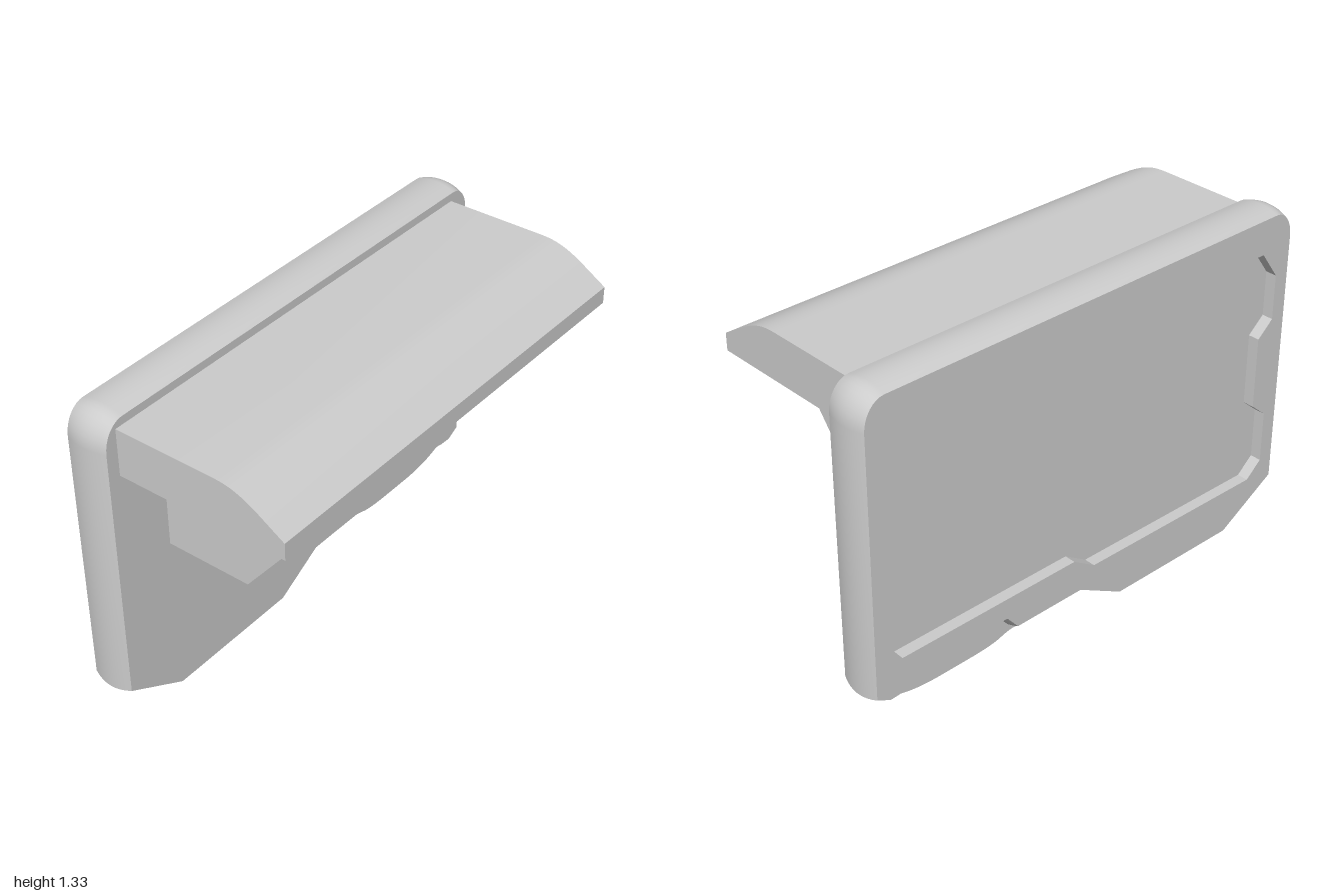
import * as THREE from 'three';
import { mergeGeometries, toCreasedNormals } from 'three/addons/utils/BufferGeometryUtils.js';

const material = new THREE.MeshStandardMaterial({ color: 0xcccccc });
const toPoints = (list) => list.map(([x, y]) => new THREE.Vector2(x, y));

// Move every edge of a counter-clockwise loop inward by d, with mitred corners
function inset(loop, d) {
  const n = loop.length;
  return loop.map((p, i) => {
    const a = p.clone().sub(loop[(i + n - 1) % n]).normalize();
    const b = loop[(i + 1) % n].clone().sub(p).normalize();
    const na = new THREE.Vector2(-a.y, a.x), nb = new THREE.Vector2(-b.y, b.x);
    const m = na.clone().add(nb);
    return p.clone().addScaledVector(m, d / (1 + na.dot(nb)));
  });
}

// Wall through a series of matching loops, each { loop, w }
function wall(levels) {
  const pos = [];
  for (let k = 0; k < levels.length - 1; k++) {
    const A = levels[k], B = levels[k + 1], n = A.loop.length;
    for (let i = 0; i < n; i++) {
      const j = (i + 1) % n;
      const a = [A.loop[i].x, A.loop[i].y, A.w], b = [A.loop[j].x, A.loop[j].y, A.w];
      const c = [B.loop[j].x, B.loop[j].y, B.w], d = [B.loop[i].x, B.loop[i].y, B.w];
      pos.push(...a, ...b, ...c, ...a, ...c, ...d);
    }
  }
  const g = new THREE.BufferGeometry();
  g.setAttribute('position', new THREE.Float32BufferAttribute(pos, 3));
  return g;
}

// Flat face at depth w, with an optional hole
function cap(loop, w, flip, hole) {
  const shape = new THREE.Shape(loop);
  if (hole) shape.holes.push(new THREE.Path(hole));
  const g = new THREE.ShapeGeometry(shape);
  if (flip) g.setIndex(Array.from(g.index.array).reverse());
  g.translate(0, 0, w);
  g.deleteAttribute('uv');
  g.deleteAttribute('normal');
  return g.toNonIndexed();
}

function extrude(shape, from, to, curveSegments = 12) {
  const g = new THREE.ExtrudeGeometry(shape, { depth: to - from, bevelEnabled: false, curveSegments });
  return toCreasedNormals(g.translate(0, 0, from), 0.5);
}

function add(group, name, geometry) {
  const mesh = new THREE.Mesh(geometry, material);
  mesh.name = name;
  group.add(mesh);
  return mesh;
}

// Upright panel with bulging rim and a recess in its -x face
function panelGeometry() {
  const outline = toPoints([
    [-1, 0.155], [-0.735, 0], [-0.155, 0], [0.05, 0.115], [0.36, 0.115], [0.41, 0.175], [0.65, 0.175],
    [0.72, 0.158], [0.8, 0.133], [0.87, 0.118], [0.93, 0.115], [1, 0.152],
  ]);
  const steps = 8;
  for (const side of [1, -1]) {
    for (let i = 0; i <= steps; i++) {
      const t = ((side > 0 ? i : steps - i) / steps) * Math.PI / 2;
      outline.push(new THREE.Vector2(side * (0.9 + 0.1 * Math.cos(t)), 1.2 + 0.125 * Math.sin(t)));
    }
  }
  const recess = toPoints([
    [0.88, 1.21], [0.3, 1.19], [0.18, 1.135], [-0.29, 1.125], [-0.42, 1.17], [-0.84, 1.17],
    [-0.92, 1.06], [-0.92, 0.88], [-0.85, 0.82], [-0.85, 0.53], [-0.92, 0.47], [-0.92, 0.26],
    [-0.85, 0.2], [-0.02, 0.21], [0.08, 0.275], [0.87, 0.28], [0.95, 0.39], [0.95, 0.53],
    [0.9, 0.63], [0.9, 0.89], [0.95, 1.0], [0.95, 1.1],
  ]);
  const mid = -0.345, half = 0.085, floor = -0.385, levels = [];
  for (let k = 0; k <= 8; k++) {
    const t = k / 4 - 1;
    levels.push({ loop: inset(outline, 0.018 * t * t), w: mid + half * t });
  }
  const face = levels[0].loop;
  const hole = recess.slice().reverse();
  return toCreasedNormals(mergeGeometries([
    wall(levels),
    cap(face, mid + half, false),
    cap(face, mid - half, true, hole),
    wall([{ loop: hole, w: mid - half }, { loop: hole, w: floor }]),
    cap(recess, floor, true),
  ]), 0.5);
}

export function createModel() {
  const model = new THREE.Group();
  model.name = 'panelWithShelf';

  add(model, 'panel', panelGeometry()).rotation.y = Math.PI / 2;

  // Thin lip showing below the notch in the panel's lower edge
  const lip = new THREE.Shape();
  lip.moveTo(0, 0.088);
  lip.lineTo(0.34, 0.085);
  lip.bezierCurveTo(0.4, 0.078, 0.38, 0.06, 0.55, 0.06);
  lip.lineTo(0.68, 0.06);
  lip.bezierCurveTo(0.8, 0.062, 0.84, 0.08, 0.93, 0.108);
  lip.lineTo(0.93, 0.19);
  lip.lineTo(0, 0.19);
  add(model, 'lowerLip', extrude(lip, -0.38, -0.295)).rotation.y = Math.PI / 2;

  // Shelf with a rounded, drooping outer edge
  const shelf = new THREE.Shape();
  shelf.moveTo(-0.27, 1.09);
  shelf.lineTo(0.425, 1.09);
  shelf.lineTo(0.425, 1.157);
  shelf.lineTo(0.32, 1.222);
  shelf.bezierCurveTo(0.25, 1.262, 0.21, 1.275, 0.14, 1.275);
  shelf.lineTo(-0.27, 1.275);
  add(model, 'shelf', extrude(shelf, -0.885, 0.933));

  // Tapered housing under the shelf
  const housing = new THREE.Shape(toPoints([
    [-0.27, 0.675], [0.087, 0.675], [0.305, 0.95], [0.305, 1.095], [-0.27, 1.095],
  ]));
  add(model, 'housing', extrude(housing, -0.665, 0.735));

  return model;
}
